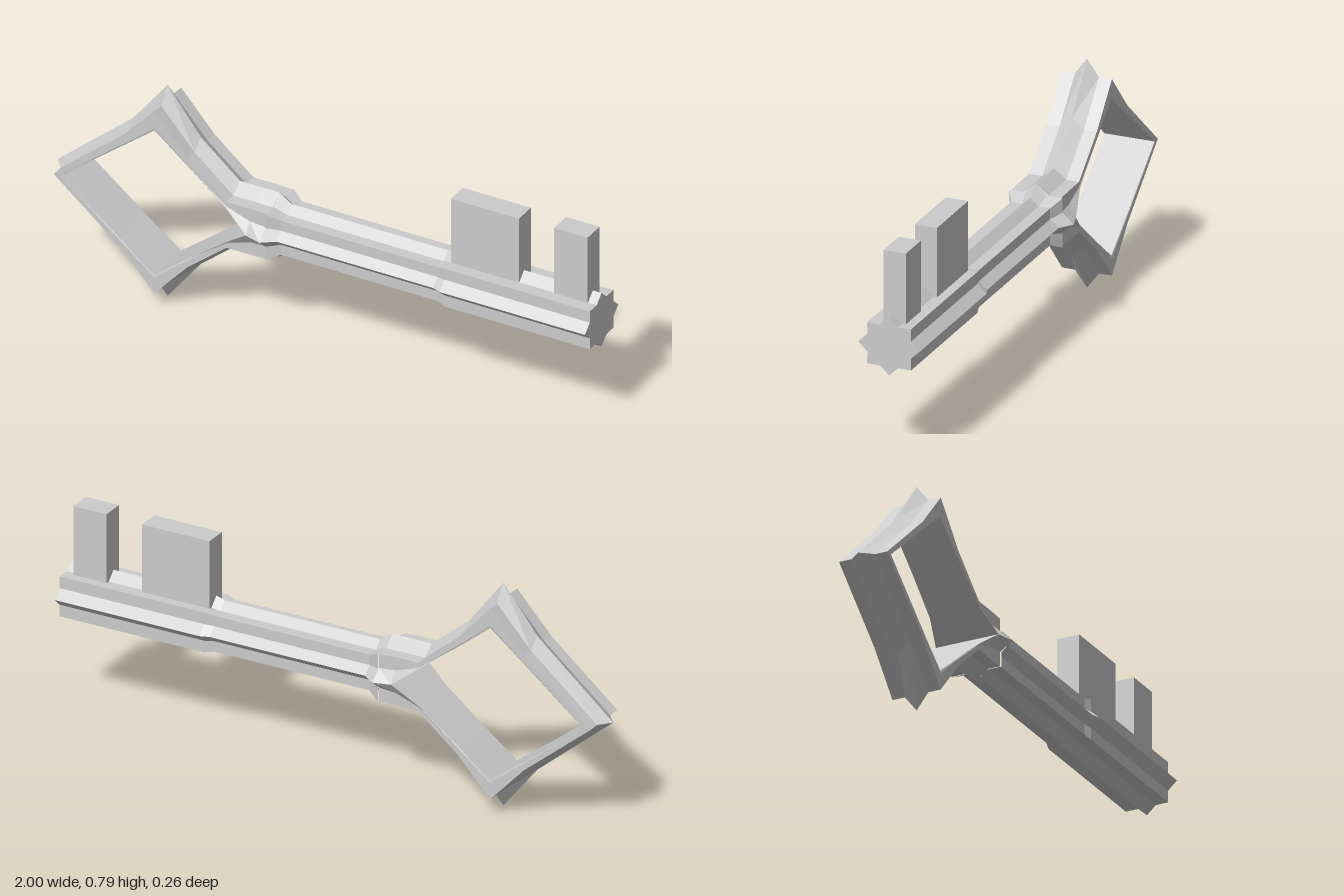
import * as THREE from 'three';

const CY = 0.39; // height of the shaft axis
const material = new THREE.MeshStandardMaterial({ color: 0xcccccc, flatShading: true });

// Skin a row of closed rings, with an optional flat cap on the last one
function loft(rings, capEnd = false) {
  const pos = [];
  const tri = (...pts) => pts.forEach((p) => pos.push(...p));
  for (let i = 0; i < rings.length - 1; i++) {
    const r = rings[i], s = rings[i + 1], n = r.length;
    for (let j = 0; j < n; j++) {
      const k = (j + 1) % n;
      tri(r[j], r[k], s[k]);
      tri(r[j], s[k], s[j]);
    }
  }
  if (capEnd) {
    const r = rings[rings.length - 1];
    r.forEach((p, j) => tri([p[0], CY, 0], p, r[(j + 1) % r.length]));
  }
  const g = new THREE.BufferGeometry();
  g.setAttribute('position', new THREE.Float32BufferAttribute(pos, 3));
  g.computeVertexNormals();
  return g;
}

// Eight-pointed star: a square crossed with a diamond
function starRing(x, ry, rz) {
  const ring = [];
  for (let i = 0; i < 16; i++) {
    const a = (i * Math.PI) / 8;
    const r = i % 2 ? 0.765 : 1;
    ring.push([x, CY + Math.cos(a) * r * ry, Math.sin(a) * r * rz]);
  }
  return ring;
}

// Bow arm section: ridge, shoulders, corners, sides and flat inner face.
// Points are [x, height above the axis]; tipZ is half the inner width.
function armRing({ ridge, shoulder, side, inner, tipZ }, sign) {
  const half = [
    [...shoulder, 0.042], [...shoulder, 0.087],
    [...side, 0.087], [...inner, tipZ],
  ];
  const section = [[...ridge, 0], ...half, ...half.map(([x, h, z]) => [x, h, -z]).reverse()];
  const ring = section.map(([x, h, z]) => [x, CY + (sign > 0 ? h : -0.975 * h), z]);
  return sign > 0 ? ring : ring.reverse();
}

export function createModel() {
  const group = new THREE.Group();
  const add = (name, geometry) => {
    const mesh = new THREE.Mesh(geometry, material);
    mesh.name = name;
    group.add(mesh);
    return mesh;
  };

  // Fluted shaft with collar and thicker bit end
  add('shaft', loft([
    starRing(-0.185, 0.12, 0.13),
    starRing(-0.14, 0.09, 0.097),
    starRing(0.435, 0.09, 0.097),
    starRing(0.465, 0.1, 0.108),
    starRing(1, 0.1, 0.108),
  ], true));

  // Diamond bow: upper and lower arms from left tip to collar
  const stations = [
    { ridge: [-1, 0], shoulder: [-0.965, 0], side: [-0.945, 0], inner: [-0.94, 0], tipZ: 0.087 },
    { ridge: [-0.72, 0.24], shoulder: [-0.72, 0.206], side: [-0.72, 0.18], inner: [-0.72, 0.176], tipZ: 0.085 },
    { ridge: [-0.595, 0.4], shoulder: [-0.595, 0.343], side: [-0.595, 0.283], inner: [-0.595, 0.273], tipZ: 0.085 },
    { ridge: [-0.473, 0.24], shoulder: [-0.473, 0.206], side: [-0.473, 0.18], inner: [-0.473, 0.176], tipZ: 0.085 },
    { ridge: [-0.33, 0.12], shoulder: [-0.33, 0.087], side: [-0.33, 0.07], inner: [-0.33, 0.064], tipZ: 0.09 },
    { ridge: [-0.245, 0.12], shoulder: [-0.245, 0.087], side: [-0.245, 0.04], inner: [-0.245, 0], tipZ: 0.113 },
    { ridge: [-0.185, 0.12], shoulder: [-0.185, 0.085], side: [-0.185, 0.035], inner: [-0.185, 0], tipZ: 0.13 },
  ];
  add('upperBowArm', loft(stations.map((s) => armRing(s, 1))));
  add('lowerBowArm', loft(stations.map((s) => armRing(s, -1))));

  // Key teeth standing on the shaft
  for (const [name, x0, x1, top] of [['wideTooth', 0.465, 0.715, 0.7], ['narrowTooth', 0.845, 0.968, 0.705]]) {
    const tooth = add(name, new THREE.BoxGeometry(x1 - x0, top - 0.44, 0.078));
    tooth.position.set((x0 + x1) / 2, (top + 0.44) / 2, -0.005);
  }
  return group;
}
